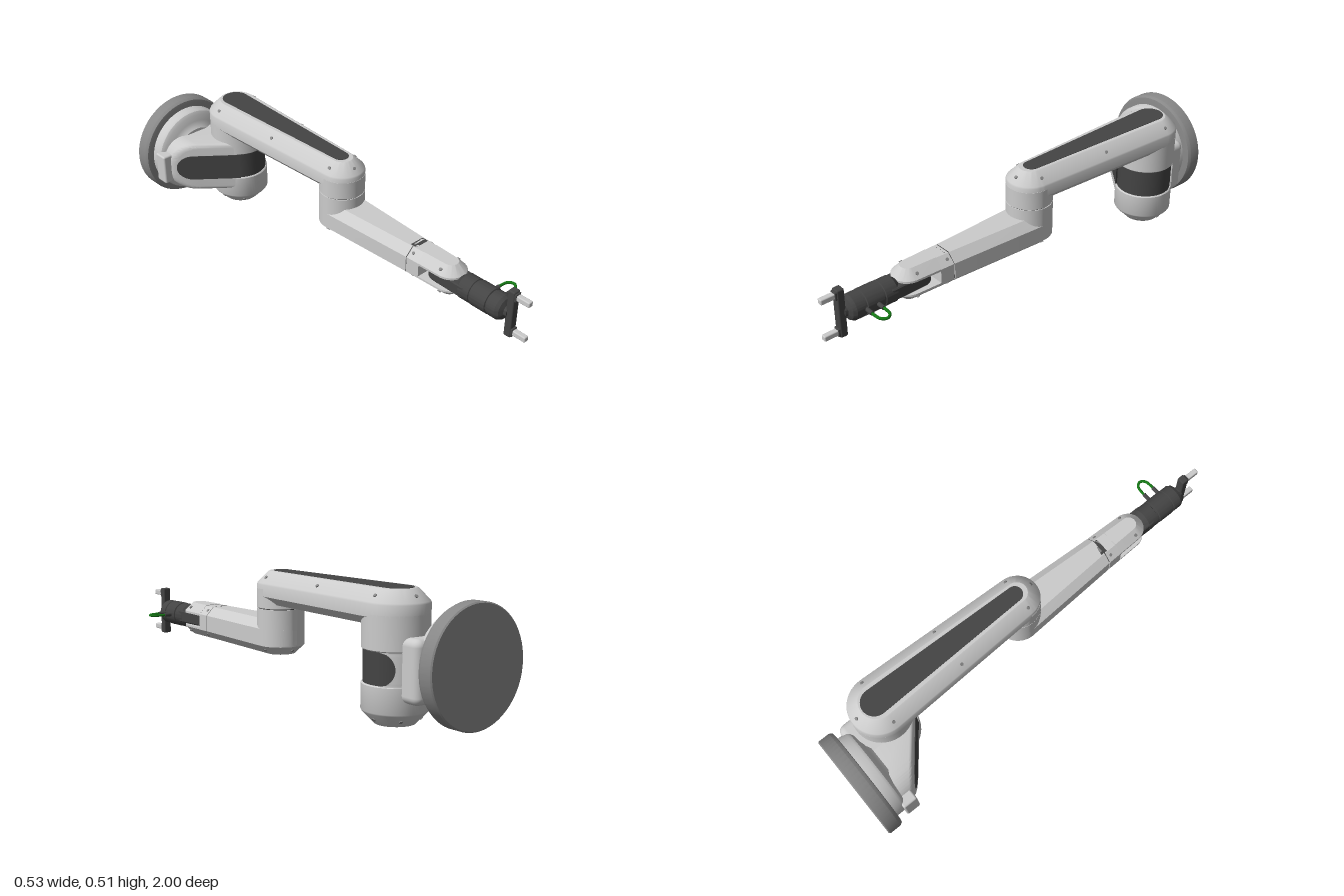
import * as THREE from 'three';
import { toCreasedNormals, mergeVertices } from 'three/addons/utils/BufferGeometryUtils.js';
import { RoundedBoxGeometry } from 'three/addons/geometries/RoundedBoxGeometry.js';

const mat = (color) => new THREE.MeshStandardMaterial({ color, side: THREE.DoubleSide });
const light = mat(0xcccccc), grey = mat(0x888888), dark = mat(0x444444), green = mat(0x147814);
const AX = 0.113;            // x of the arm's centre plane
const SH = -0.725;           // z of the shoulder axis
const EL = -0.02;            // z of the elbow axis
const WY = 0.238;            // height of the wrist axis

// Tapered bar with round (or flat) ends in plan, stacked from [y, inset] layers.
function taperedBar(z0, r0, z1, r1, layers, round0 = true, round1 = true) {
  const pos = [], idx = [];
  const ring = ([y, inset]) => {
    const pts = [];
    const end = (z, r, start, round) => {
      const n = round ? 24 : 1;
      for (let i = 0; i <= n; i++) {
        const a = start + Math.PI * i / n;
        pts.push([r * Math.cos(a), y, z + r * Math.sin(a)]);
      }
    };
    end(z1, r1 - inset, 0, round1);
    end(z0, r0 - inset, Math.PI, round0);
    return pts;
  };
  const rings = layers.map(ring), n = rings[0].length;
  rings.forEach((r) => r.forEach((p) => pos.push(...p)));
  const top = (rings.length - 1) * n, c0 = rings.length * n, c1 = c0 + 1, zc = (z0 + z1) / 2;
  pos.push(0, layers[0][0], zc, 0, layers[layers.length - 1][0], zc);
  for (let i = 0; i < n; i++) {
    const j = (i + 1) % n;
    idx.push(c0, i, j, c1, top + j, top + i);
    for (let k = 0; k < top; k += n) idx.push(k + i, k + n + i, k + j, k + j, k + n + i, k + n + j);
  }
  const g = new THREE.BufferGeometry();
  g.setAttribute('position', new THREE.Float32BufferAttribute(pos, 3));
  g.setIndex(idx);
  return toCreasedNormals(g, 0.5);
}

// Turned solid; points are [radius, height].
const turned = (pts) => toCreasedNormals(
  new THREE.LatheGeometry(pts.map(([r, y]) => new THREE.Vector2(r, y)), 64), 0.5);
const turnedZ = (pts) => turned(pts).rotateX(Math.PI / 2);

// Slab outlined in x and y with round left corners; its front face slopes with x.
function slopedSlab(x0, x1, y0, y1, r, back, front, bevel) {
  const s = new THREE.Shape();
  s.moveTo(x1, y0);
  s.lineTo(x1, y1);
  s.lineTo(x0 + r, y1);
  s.absarc(x0 + r, y1 - r, r, Math.PI / 2, Math.PI, false);
  s.absarc(x0 + r, y0 + r, r, Math.PI, Math.PI * 1.5, false);
  const g = new THREE.ExtrudeGeometry(s, {
    depth: front - back - bevel, curveSegments: 16, bevelEnabled: bevel > 0,
    bevelThickness: bevel, bevelSize: bevel, bevelOffset: -bevel, bevelSegments: 4,
  });
  g.translate(0, 0, back);
  const p = g.attributes.position, mid = (back + front) / 2;
  for (let i = 0; i < p.count; i++) {
    if (p.getZ(i) > mid) p.setZ(i, p.getZ(i) + (p.getX(i) + 0.2) * 0.8);
  }
  g.deleteAttribute('normal');
  g.deleteAttribute('uv');
  return toCreasedNormals(mergeVertices(g), 0.5);
}

export function createModel() {
  const model = new THREE.Group();
  const add = (name, geo, m, x = 0, y = 0, z = 0, parent = model) => {
    const mesh = new THREE.Mesh(geo, m);
    mesh.name = name;
    mesh.position.set(x, y, z);
    parent.add(mesh);
    return mesh;
  };
  const screw = (x, y, z, nx, ny, nz) => {
    const s = add('screw', new THREE.CylinderGeometry(0.007, 0.007, 0.006, 16), grey, x, y, z);
    s.quaternion.setFromUnitVectors(new THREE.Vector3(0, 1, 0), new THREE.Vector3(nx, ny, nz).normalize());
  };

  // Wall flange and domed drum
  add('baseFlange', turnedZ([[0, -1], [0.23, -1], [0.235, -0.995], [0.235, -0.945], [0.228, -0.932],
    [0.215, -0.93], [0, -0.93]]), grey, -0.033, 0.239);
  add('baseDrum', turnedZ([[0.197, -0.94], [0.197, -0.893], [0.192, -0.882], [0.178, -0.873], [0.15, -0.868],
    [0.13, -0.86], [0.12, -0.85], [0, -0.85]]), light, -0.033, 0.239);

  // Sloping housing between drum and shoulder
  add('shoulderHousing', slopedSlab(-0.208, 0.04, 0.105, 0.345, 0.1, -0.91, -0.8155, 0.02), light);
  add('housingPanel', slopedSlab(-0.19, 0.036, 0.165, 0.288, 0.06, -0.86, -0.8125, 0), dark);
  add('housingBack', new RoundedBoxGeometry(0.2, 0.24, 0.16, 3, 0.03), light, 0.08, 0.225, -0.83);
  add('sideTab', new RoundedBoxGeometry(0.07, 0.14, 0.065, 2, 0.008), light, -0.206, 0.222, -0.862);

  // Shoulder column with recessed dark band
  add('shoulderLower', turned([[0, 0.01], [0.078, 0.01], [0.124, 0.058], [0.127, 0.064], [0.127, 0.161],
    [0.123, 0.165], [0, 0.165]]), light, AX, 0, SH);
  add('shoulderUpper', turned([[0, 0.288], [0.123, 0.288], [0.127, 0.292], [0.127, 0.42], [0, 0.42]]), light, AX, 0, SH);
  add('shoulderBand', new THREE.CylinderGeometry(0.12, 0.12, 0.126, 64, 1, true), dark, AX, 0.2265, SH);
  add('shoulderCap', new THREE.CylinderGeometry(0.055, 0.055, 0.006, 40), dark, AX, 0.01, SH);
  const cover = new THREE.PlaneGeometry(1, 1, 40, 16), cp = cover.attributes.position;
  for (let i = 0; i < cp.count; i++) {
    const u = cp.getX(i) + 0.5, v = cp.getY(i) * 2;
    const start = 2.4 - 0.5 * (1 - Math.sqrt(Math.max(0, 1 - v * v)));
    const t = start + (5.6 - start) * u;
    cp.setXYZ(i, 0.127 * Math.sin(t), v * 0.0625, 0.127 * Math.cos(t));
  }
  cover.computeVertexNormals();
  add('bandCover', cover, light, AX, 0.2265, SH);
  for (let i = 0; i < 6; i++) {
    const a = Math.PI * (i + 0.5) / 3, s = Math.sin(a), c = Math.cos(a);
    screw(AX + 0.101 * s, 0.034, SH + 0.101 * c, s, -1, c);
  }

  // Upper link
  add('upperLink', taperedBar(SH, 0.127, EL, 0.097,
    [[0.378, 0.03], [0.41, 0], [0.457, 0], [0.464, 0.003], [0.508, 0.047], [0.511, 0.052]]), light, AX);
  add('upperLinkPanel', taperedBar(-0.735, 0.058, -0.03, 0.034, [[0.5, 0], [0.513, 0]]), dark, AX);
  for (const s of [-1, 1]) {
    screw(AX + s * 0.103, 0.486, SH, s, 1, 0);
    screw(AX + s * 0.088, 0.486, -0.375, s, 1, 0);
    screw(AX + s * 0.073, 0.486, EL, s, 1, 0);
  }
  screw(AX, 0.486, SH - 0.103, 0, 1, -1);
  screw(AX, 0.486, EL + 0.073, 0, 1, 1);

  // Elbow column
  add('elbowUpper', turned([[0, 0.361], [0.098, 0.361], [0.098, 0.44], [0, 0.44]]), light, AX, 0, EL);
  add('elbowSeam', new THREE.CylinderGeometry(0.094, 0.094, 0.01, 48), dark, AX, 0.359, EL);
  add('elbowLower', turned([[0, 0.21], [0.098, 0.21], [0.098, 0.357], [0, 0.357]]), light, AX, 0, EL);

  // Forearm, seam and wrist fork
  const section = [[0.168, 0.038], [0.204, 0], [0.274, 0], [0.31, 0.036]];
  add('forearm', taperedBar(EL, 0.098, 0.433, 0.074, section, true, false), light, AX);
  add('forearmSeam', taperedBar(0.42, 0.07, 0.45, 0.07, section, false, false), dark, AX);
  add('forearmPanel', taperedBar(0, 0.045, 0.39, 0.026, [[0.166, 0], [0.18, 0]]), dark, AX);
  add('forkBody', taperedBar(0.437, 0.074, 0.5, 0.072, section, false, false), light, AX);
  add('forkTop', taperedBar(0.495, 0.072, 0.605, 0.068, [[0.266, 0], [0.275, 0], [0.312, 0.036]], false), light, AX);
  add('forkBottom', taperedBar(0.495, 0.072, 0.605, 0.068, [[0.168, 0.038], [0.204, 0], [0.212, 0]], false), light, AX);
  for (const s of [-1, 1]) {
    for (const z of [0.455, 0.6]) {
      screw(AX + s * 0.053, 0.293, z, s, 1, 0);
      screw(AX + s * 0.053, 0.186, z, s, -1, 0);
    }
    screw(AX + s * 0.079, 0.186, EL, s, -1, 0);
  }
  screw(AX, 0.186, EL - 0.079, 0, -1, -1);

  // Wrist
  add('wristKnuckle', taperedBar(0.56, 0.05, 0.7, 0.052, [[0.212, 0.004], [0.217, 0], [0.261, 0], [0.266, 0.004]]), dark, AX);
  add('wristBody', turnedZ([[0, 0.66], [0.03, 0.66], [0.054, 0.69], [0.054, 0.742], [0.05, 0.744], [0.05, 0.75],
    [0.055, 0.752], [0.055, 0.826], [0.05, 0.828], [0.05, 0.834], [0.054, 0.836], [0.054, 0.875],
    [0.046, 0.889], [0.026, 0.898], [0.024, 0.91], [0, 0.91]]), dark, AX, WY);

  // Gripper bar and fingers
  add('gripperBar', new RoundedBoxGeometry(0.036, 0.215, 0.032, 3, 0.006), dark, AX, WY, 0.918);
  for (const s of [-1, 1]) {
    add('gripperCarriage', new RoundedBoxGeometry(0.03, 0.036, 0.012, 2, 0.003), dark, AX, WY + s * 0.083, 0.935);
    add('gripperFinger', new RoundedBoxGeometry(0.024, 0.024, 0.075, 2, 0.005), light, AX, WY + s * 0.083, 0.9625);
  }

  // Cable loop with its plugs
  const loop = new THREE.CatmullRomCurve3([[0.185, 0.782], [0.22, 0.782], [0.245, 0.787], [0.26, 0.808],
    [0.245, 0.829], [0.22, 0.834], [0.185, 0.834]].map(([x, z]) => new THREE.Vector3(x, WY, z)));
  add('cable', new THREE.TubeGeometry(loop, 40, 0.006, 12), green);
  for (const z of [0.782, 0.834]) {
    add('cablePlug', new THREE.CylinderGeometry(0.009, 0.009, 0.045, 16).rotateZ(Math.PI / 2), dark, 0.178, WY, z);
  }
  return model;
}
